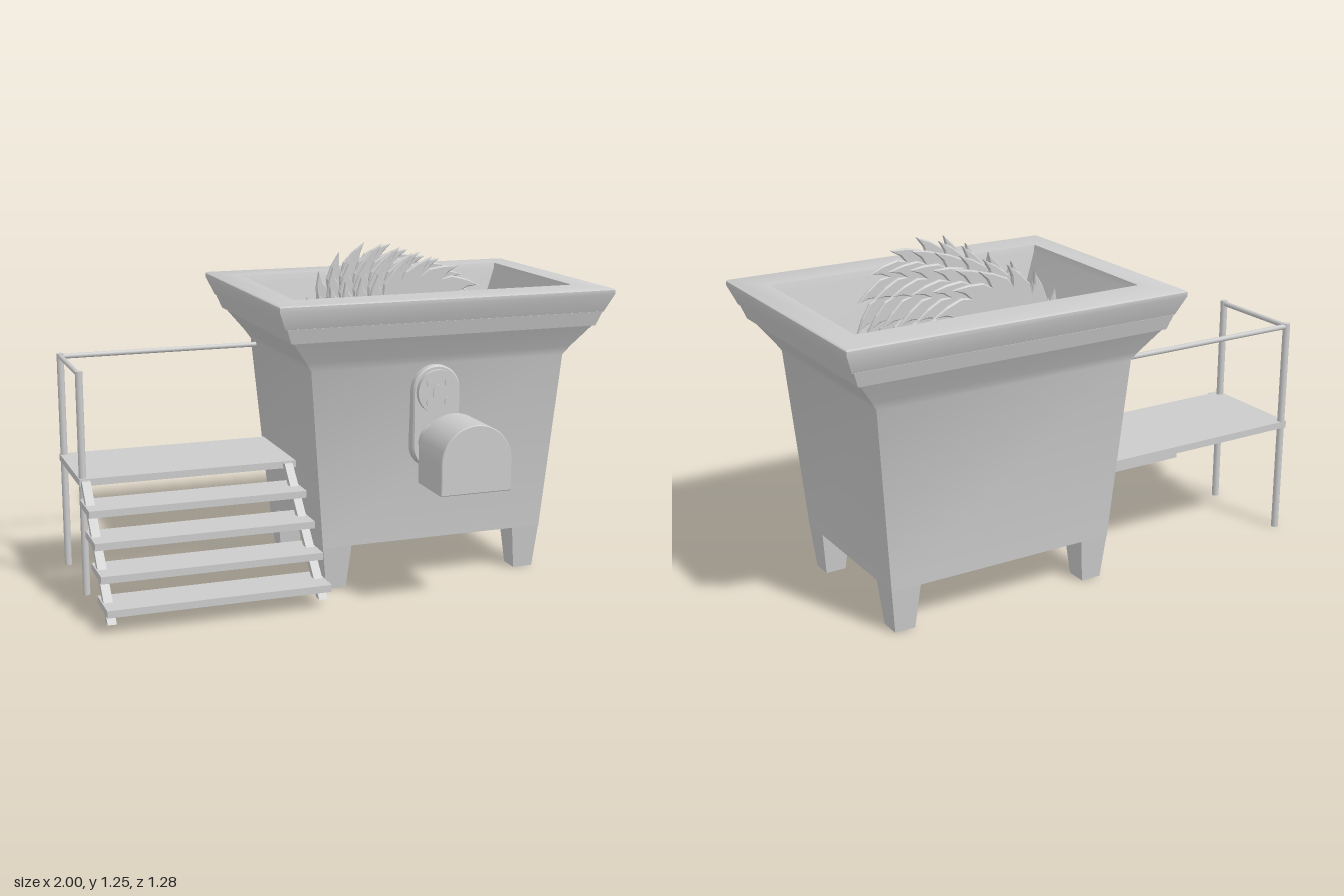
import * as THREE from 'three';
import { toCreasedNormals } from 'three/addons/utils/BufferGeometryUtils.js';

const mat = new THREE.MeshStandardMaterial({ color: 0xcccccc });
const CX = 0.326, CZ = -0.136; // hopper centre

function add(parent, name, geometry, x = 0, y = 0, z = 0) {
  const mesh = new THREE.Mesh(geometry, mat);
  mesh.name = name;
  mesh.position.set(x, y, z);
  parent.add(mesh);
  return mesh;
}

// Box given by its min and max corners
function box(parent, name, x0, x1, y0, y1, z0, z1) {
  return add(parent, name, new THREE.BoxGeometry(x1 - x0, y1 - y0, z1 - z0),
    (x0 + x1) / 2, (y0 + y1) / 2, (z0 + z1) / 2);
}

// Round bar between two points
function bar(parent, name, a, b, r, sides = 16) {
  const p = new THREE.Vector3(...a), q = new THREE.Vector3(...b);
  const dir = q.clone().sub(p);
  const mesh = add(parent, name, new THREE.CylinderGeometry(r, r, dir.length(), sides));
  mesh.position.copy(p).add(q).multiplyScalar(0.5);
  mesh.quaternion.setFromUnitVectors(new THREE.Vector3(0, 1, 0), dir.normalize());
  return mesh;
}

// Skin over rectangular rings [y, halfX, halfZ, skew], capped at both ends
function loft(rings) {
  const corners = rings.map(([y, hx, hz, s = 0]) =>
    [[-1, 1], [1, 1], [1, -1], [-1, -1]].map(([i, j]) =>
      [i * hx - s * j * hz, y, j * hz - s * i * hx]));
  const pos = [];
  const quad = (a, b, c, d) => pos.push(...a, ...b, ...c, ...a, ...c, ...d);
  for (let k = 0; k < corners.length - 1; k++) {
    const a = corners[k], b = corners[k + 1];
    for (let i = 0; i < 4; i++) quad(a[i], a[(i + 1) % 4], b[(i + 1) % 4], b[i]);
  }
  quad(...[...corners[0]].reverse());
  quad(...corners[corners.length - 1]);
  const g = new THREE.BufferGeometry();
  g.setAttribute('position', new THREE.Float32BufferAttribute(pos, 3));
  return toCreasedNormals(g, 0.7);
}

// Upright slab with a rounded top and a square or rounded foot
function archShape(r, y0, yTop, roundFoot) {
  const s = new THREE.Shape();
  s.absarc(0, yTop - r, r, 0, Math.PI, false);
  if (roundFoot) s.absarc(0, y0 + r, r, Math.PI, Math.PI * 2, false);
  else { s.lineTo(-r, y0); s.lineTo(r, y0); }
  s.closePath();
  return s;
}

function extrude(shape, depth, bevel = 0) {
  return new THREE.ExtrudeGeometry(shape, {
    depth: depth - 2 * bevel, bevelEnabled: bevel > 0, bevelSize: bevel,
    bevelOffset: -bevel, bevelThickness: bevel, bevelSegments: 1, curveSegments: 24,
  }).translate(0, 0, bevel);
}

// Toothed disc with hooked tips
function bladeShape(teeth = 16) {
  const s = new THREE.Shape();
  const step = (Math.PI * 2) / teeth;
  const profile = [[0, 0.225], [0.3, 0.25], [0.85, 0.272], [1.35, 0.295], [1.12, 0.255]];
  for (let i = 0; i < teeth; i++) {
    profile.forEach(([t, r], k) => {
      const a = -(i + t) * step;
      s[i + k ? 'lineTo' : 'moveTo'](Math.cos(a) * r, Math.sin(a) * r);
    });
  }
  s.closePath();
  return s;
}

function buildHopper() {
  const g = new THREE.Group();
  g.name = 'hopper';
  // Outer wall, flare, trim and rim, then down inside to the floor
  add(g, 'hopperBody', loft([
    [0.17, 0.455, 0.34], [0.865, 0.514, 0.383], [0.9, 0.537, 0.4], [0.985, 0.603, 0.449],
    [0.985, 0.613, 0.457], [1.04, 0.634, 0.472], [1.04, 0.64, 0.47], [1.11, 0.67, 0.5],
    [1.125, 0.67, 0.5], [1.13, 0.664, 0.494], [1.13, 0.568, 0.354, 0.013],
    [1.105, 0.562, 0.348, 0.013], [0.56, 0.345, 0.265, 0.013],
  ]), CX, 0, CZ);
  // Tapered feet
  for (const sx of [-1, 1]) for (const sz of [-1, 1])
    add(g, 'foot', loft([[0, 0.04, 0.041], [0.175, 0.058, 0.058]]),
      CX + sx * 0.397, 0, CZ + sz * 0.282);
  return g;
}

function buildShredder() {
  const g = new THREE.Group();
  g.name = 'shredder';
  bar(g, 'shaft', [0.295, 0.96, -0.475], [0.295, 0.96, 0.2], 0.035, 32);
  const blade = extrude(bladeShape(), 0.016, 0.005).translate(0, 0, -0.008);
  [0.13, 0.027, -0.08, -0.195, -0.295, -0.393].forEach((z, i) => {
    add(g, 'blade', blade, 0.295, 0.96, z).rotation.z = i * 0.13;
  });
  return g;
}

function buildDrive() {
  const g = new THREE.Group();
  g.name = 'drive';
  const x = 0.302;
  add(g, 'mountPlate', extrude(archShape(0.095, 0.46, 0.863, true), 0.085, 0.006), x, 0, 0.19);
  bar(g, 'bearingBoss', [x, 0.765, 0.26], [x, 0.765, 0.296], 0.083, 32);
  bar(g, 'bearingNut', [x, 0.765, 0.28], [x, 0.765, 0.303], 0.03, 6);
  for (let i = 0; i < 4; i++) {
    const a = Math.PI / 4 + (i * Math.PI) / 2;
    const bx = x + 0.052 * Math.cos(a), by = 0.765 + 0.052 * Math.sin(a);
    bar(g, 'bearingBolt', [bx, by, 0.28], [bx, by, 0.302], 0.016, 8);
  }
  bar(g, 'driveNeck', [x, 0.572, 0.26], [x, 0.572, 0.44], 0.073, 32);
  add(g, 'motorHousing', extrude(archShape(0.137, 0.46, 0.712, false), 0.213, 0.003), x, 0, 0.427);
  return g;
}

function buildStairs() {
  const g = new THREE.Group();
  g.name = 'stairs';
  box(g, 'platform', -1, -0.13, 0.43, 0.457, -0.465, -0.045);
  // Treads climb toward the back
  for (let i = 0; i < 4; i++) {
    const y = 0.067 + i * 0.095, z = 0.403 - i * 0.094;
    box(g, 'tread', -1, -0.165, y, y + 0.027, z - 0.174, z);
  }
  // Slanted side beams with level ends
  const beam = new THREE.Shape([[-0.378, 0.032], [-0.343, 0.032], [0.06, 0.452], [0.025, 0.452]]
    .map(([a, b]) => new THREE.Vector2(a, b)));
  for (const x of [-0.995, -0.205])
    add(g, 'stringer', extrude(beam, 0.033), x).rotation.y = Math.PI / 2;
  // Posts and hand rails
  const px = -0.984, front = -0.068, back = -0.452, top = 0.85;
  for (const z of [front, back]) {
    bar(g, 'railPost', [px, 0, z], [px, top + 0.012, z], 0.014);
  }
  bar(g, 'sideRail', [px, top, front], [px, top, back], 0.01);
  bar(g, 'backRail', [px, top, back], [-0.18, top, back], 0.01);
  return g;
}

export function createModel() {
  const model = new THREE.Group();
  model.name = 'shredderHopper';
  model.add(buildHopper(), buildShredder(), buildDrive(), buildStairs());
  return model;
}
